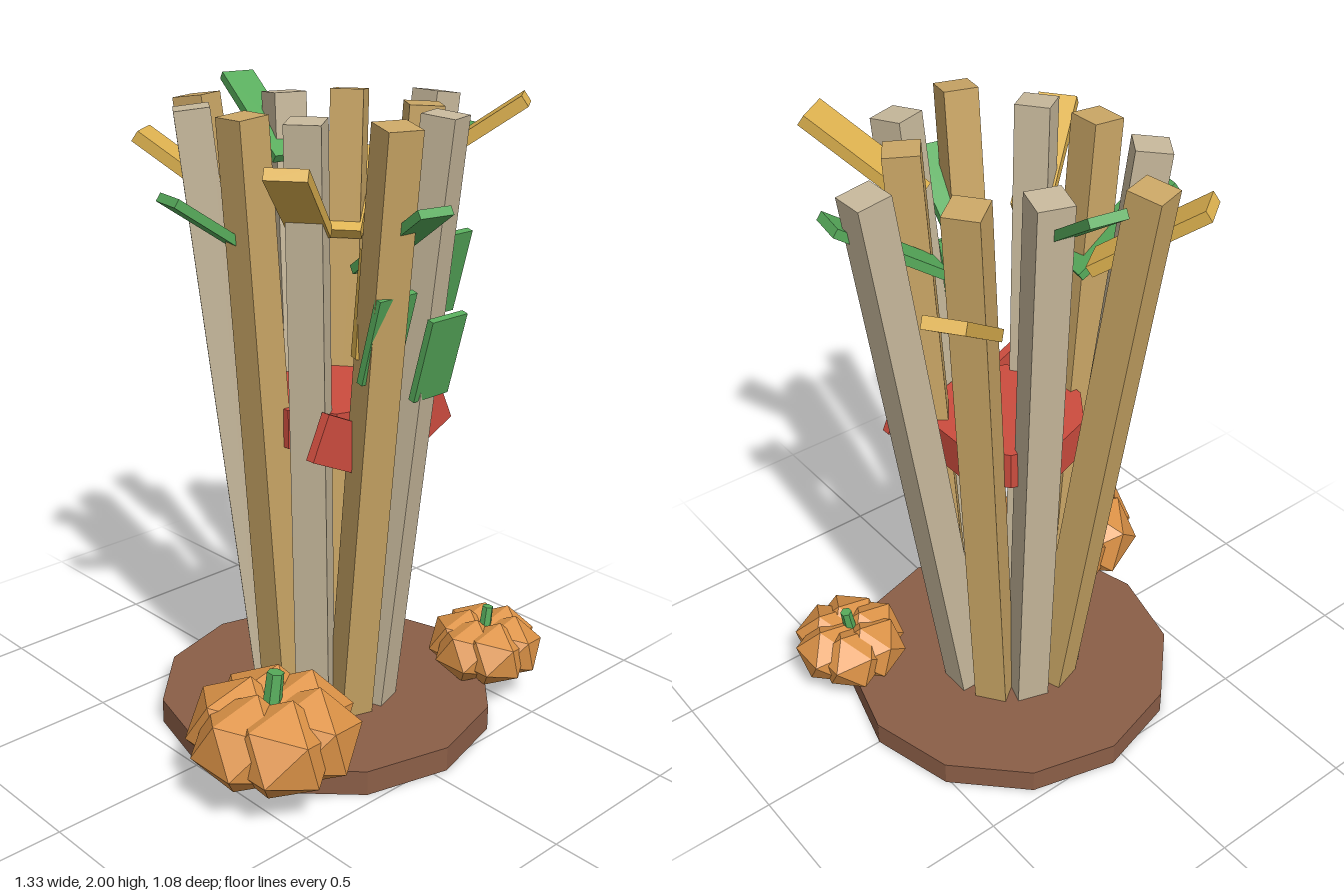
import * as THREE from 'three';

const CX = 0.045; // axis of the bundle

export function createModel() {
  const root = new THREE.Group();
  const mat = (name, color) => {
    const m = new THREE.MeshStandardMaterial({ color, flatShading: true });
    m.name = name;
    return m;
  };
  const wood = mat('brown wood', 0x8b5e47);
  const tan = mat('tan straw', 0xcba766);
  const pale = mat('pale straw', 0xc8b99c);
  const red = mat('red ribbon', 0xcc4c3e);
  const green = mat('leaf green', 0x57ab5b);
  const gold = mat('golden leaf', 0xdfb350);
  const orange = mat('pumpkin orange', 0xdd9347);

  const add = (parent, name, geo, material, x = 0, y = 0, z = 0) => {
    const m = new THREE.Mesh(geo, material);
    m.name = name;
    m.position.set(x, y, z);
    parent.add(m);
    return m;
  };
  // A pivot on the bundle axis whose local +x points outward at the given angle
  const spoke = (name, degrees) => {
    const g = new THREE.Group();
    g.name = name;
    g.position.x = CX;
    g.rotation.y = -THREE.MathUtils.degToRad(degrees);
    root.add(g);
    return g;
  };

  // Round base
  add(root, 'base', new THREE.CylinderGeometry(0.54, 0.54, 0.08, 12), wood, CX, 0.04, 0);

  // Ten stalks flaring outward, each with its own top radius
  const topRadius = [0.455, 0.28, 0.37, 0.43, 0.31, 0.32, 0.39, 0.45, 0.315, 0.36];
  const stalkTan = [false, true, false, true, false, true, false, true, false, true];
  topRadius.forEach((r, i) => {
    const r0 = 0.17, y0 = 0.015, y1 = 1.955;
    const g = spoke('stalk', i * 36);
    const s = add(g, 'stalkStem',
      new THREE.BoxGeometry(0.104, Math.hypot(r - r0, y1 - y0), 0.104),
      stalkTan[i] ? tan : pale, (r + r0) / 2, (y0 + y1) / 2, 0);
    s.rotation.z = -Math.atan2(r - r0, y1 - y0);
  });

  // Ribbon band and the two halves of its bow
  add(root, 'ribbonBand', new THREE.CylinderGeometry(0.235, 0.235, 0.12, 10), red, CX, 1.04, 0);
  for (const side of [-1, 1]) {
    const b = add(root, 'bowLoop', new THREE.BoxGeometry(0.19, 0.145, 0.03), red,
      CX + side * 0.172, 1.03, 0.237);
    b.rotation.z = side * 0.44;
  }

  // Cobs with a husk plate in front: [x, z, base height, husk z]
  const cobs = [[0.298, 0.19, 1.39, 0.235], [0.152, 0.27, 1.19, 0.355], [-0.06, 0.28, 1.29, 0.355]];
  for (const [x, z, y, hz] of cobs) {
    add(root, 'cob', new THREE.CylinderGeometry(0.026, 0.048, 0.31, 8), gold, x, y + 0.155, z);
    const husk = add(root, 'husk', new THREE.BoxGeometry(0.145, 0.265, 0.022), green, x, y + 0.07, hz);
    husk.rotation.x = 0.26;
  }

  // Leaves slanting up and out between the stalk tops: [angle, height]
  const leaf = (name, list, radius, width, thick, material) => {
    for (const [angle, y] of list) {
      const l = add(spoke(name, angle), name + 'Blade',
        new THREE.BoxGeometry(0.38, thick, width), material, radius, y, 0);
      l.rotation.z = 0.6;
    }
  };
  leaf('greenLeaf', [[10, 1.75], [100, 1.63], [190, 1.63], [280, 1.88]], 0.365, 0.11, 0.027, green);
  leaf('goldenLeaf', [[54, 1.88], [144, 1.75], [234, 1.75], [324, 1.63]], 0.405, 0.118, 0.036, gold);

  // Pumpkins made of six faceted lobes around a leaning stem
  const lobeGeo = new THREE.IcosahedronGeometry(0.165, 0);
  lobeGeo.rotateZ(0.25);
  lobeGeo.scale(1, 0.9, 1);
  const pumpkin = (x, y, z, size) => {
    const g = new THREE.Group();
    g.name = 'pumpkin';
    g.position.set(x, y, z);
    g.scale.setScalar(size);
    root.add(g);
    for (let i = 0; i < 6; i++) {
      const a = i * Math.PI / 3;
      add(g, 'pumpkinLobe', lobeGeo, orange, Math.cos(a) * 0.107, 0, Math.sin(a) * 0.107);
    }
    const stem = add(g, 'pumpkinStem', new THREE.CylinderGeometry(0.026, 0.03, 0.15, 6), green, 0, 0.115, 0);
    stem.rotation.z = -0.15;
  };
  pumpkin(-0.42, 0.215, 0.27, 1);
  pumpkin(0.49, 0.175, 0.295, 0.71);

  return root;
}
